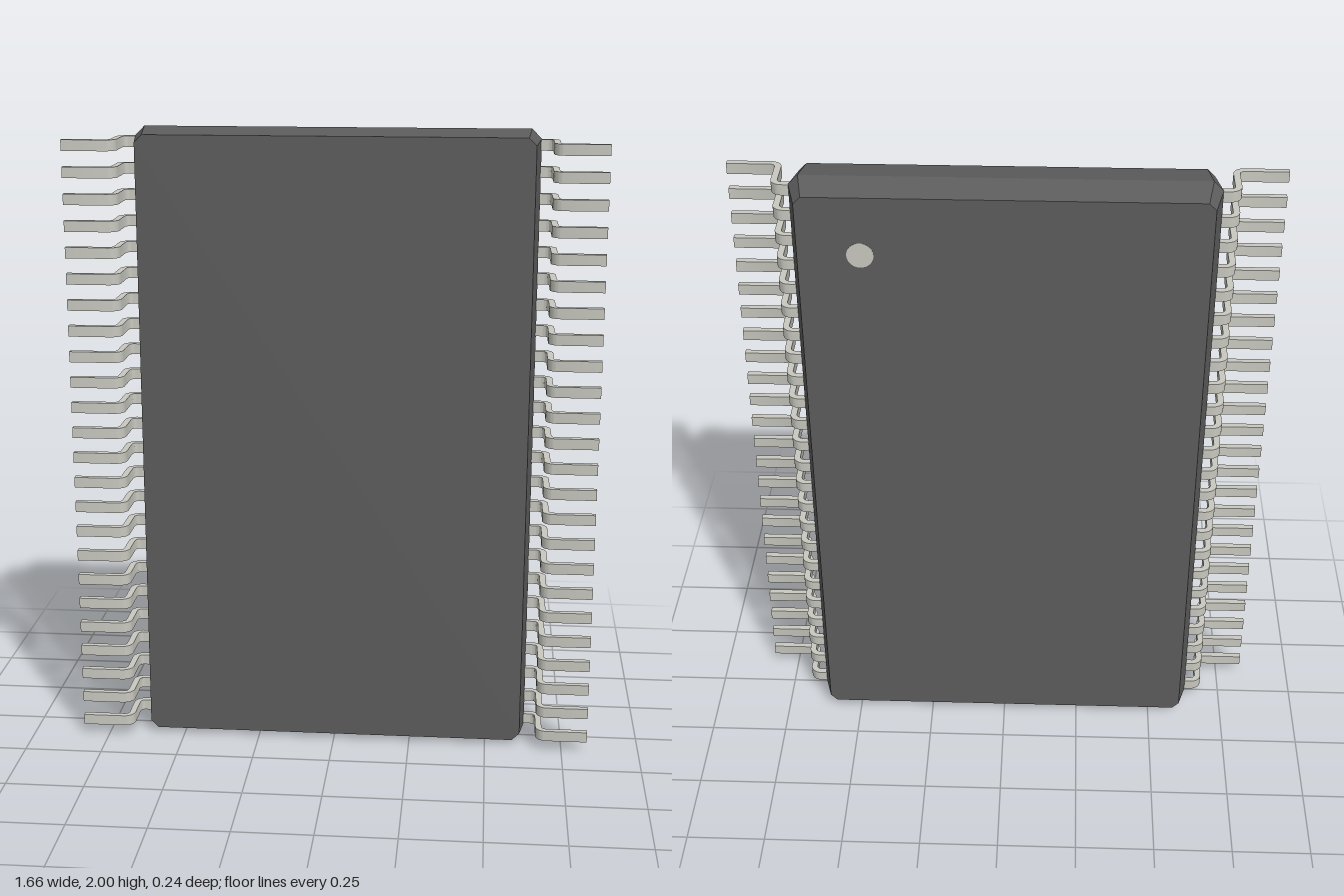
import * as THREE from 'three';
import { toCreasedNormals } from 'three/addons/utils/BufferGeometryUtils.js';

const bodyMaterial = new THREE.MeshStandardMaterial({ color: 0x5c5c5c });
const metalMaterial = new THREE.MeshStandardMaterial({ color: 0xc8c8c0 });

// Rectangle outline with cut corners, counter-clockwise seen from +z
function ring(z, w, h, c) {
  return [
    [w, c - h], [w, h - c], [w - c, h], [c - w, h],
    [-w, h - c], [-w, c - h], [c - w, -h], [w - c, -h],
  ].map(([x, y]) => [x, y + 1, z]);
}

// Moulded case: widest at the seam, tapering to the front and the back
function caseGeometry() {
  const rings = [
    ring(-0.122, 0.605, 0.975, 0.022),
    ring(-0.03, 0.63, 1, 0.03),
    ring(0.082, 0.613, 0.983, 0.024),
  ];
  const n = 8;
  const index = [];
  for (let r = 0; r < 2; r++) {
    for (let i = 0; i < n; i++) {
      const a = r * n + i, b = r * n + (i + 1) % n;
      index.push(a, b, b + n, a, b + n, a + n);
    }
  }
  for (let i = 1; i < n - 1; i++) {
    index.push(0, i + 1, i);
    index.push(2 * n, 2 * n + i, 2 * n + i + 1);
  }
  const geo = new THREE.BufferGeometry();
  geo.setAttribute('position', new THREE.Float32BufferAttribute(rings.flat(2), 3));
  geo.setIndex(index);
  const flat = geo.toNonIndexed();
  flat.computeVertexNormals();
  return flat;
}

// Gull-wing pin: side profile in x and z, given height along y
function pinGeometry(height) {
  const q = Math.PI / 2;
  const s = new THREE.Shape();
  s.moveTo(0.6, -0.034);
  s.lineTo(0.65, -0.034);
  s.absarc(0.65, 0.001, 0.035, -q, 0, false);
  s.lineTo(0.685, 0.084);
  s.absarc(0.7, 0.084, 0.015, 2 * q, q, true);
  s.lineTo(0.832, 0.099);
  s.lineTo(0.832, 0.119);
  s.lineTo(0.7, 0.119);
  s.absarc(0.7, 0.084, 0.035, q, 2 * q, false);
  s.lineTo(0.665, 0.001);
  s.absarc(0.65, 0.001, 0.015, 0, -q, true);
  s.lineTo(0.6, -0.014);
  s.closePath();
  const geo = new THREE.ExtrudeGeometry(s, { depth: height, bevelEnabled: false, curveSegments: 6 });
  geo.translate(0, 0, -height / 2);
  geo.rotateX(Math.PI / 2);
  return toCreasedNormals(geo, 0.6);
}

export function createModel() {
  const model = new THREE.Group();
  model.name = 'chipPackage';

  const body = new THREE.Mesh(caseGeometry(), bodyMaterial);
  body.name = 'case';
  model.add(body);

  // Orientation dot on the back face
  const dot = new THREE.Mesh(new THREE.CylinderGeometry(0.04, 0.04, 0.004, 32), metalMaterial);
  dot.name = 'orientationDot';
  dot.rotation.x = Math.PI / 2;
  dot.position.set(0.42, 1.79, -0.121);
  model.add(dot);

  // Two rows of 24 pins
  const pin = pinGeometry(0.034);
  for (const side of ['left', 'right']) {
    const row = new THREE.Group();
    row.name = side + 'Pins';
    for (let i = 0; i < 24; i++) {
      const mesh = new THREE.Mesh(pin, metalMaterial);
      mesh.name = side + 'Pin' + (i + 1);
      mesh.position.y = 1.0025 + (i - 11.5) * 0.0826;
      if (side === 'right') mesh.rotation.z = Math.PI;
      row.add(mesh);
    }
    model.add(row);
  }
  return model;
}
